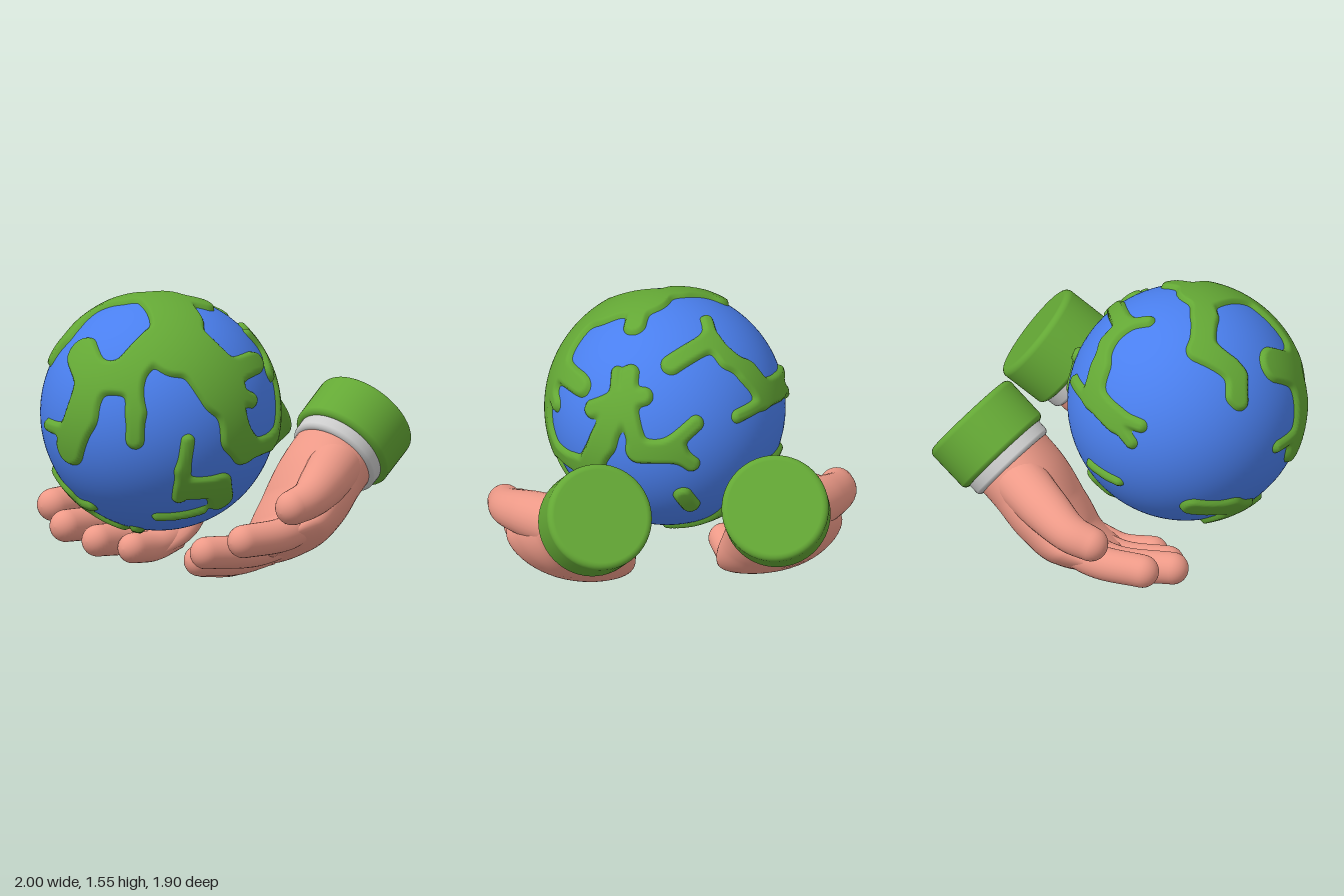
import * as THREE from 'three';
import { mergeVertices } from 'three/addons/utils/BufferGeometryUtils.js';

const mat = (color) => new THREE.MeshStandardMaterial({ color });
const GREEN = mat(0x64a835), BLUE = mat(0x4a7fee), SKIN = mat(0xee9a88), GREY = mat(0xcccccc);
const V3 = (x, y, z) => new THREE.Vector3(x, y, z);

function mesh(name, geometry, material) {
  const m = new THREE.Mesh(geometry, material);
  m.name = name;
  return m;
}

// Thick strokes on the unit sphere, drawn as seen from an azimuth and elevation.
// Each stroke is [radius, u, v, u, v, ...] in percent of the globe radius.
function strokes(azimuth, elevation, list) {
  const a = THREE.MathUtils.degToRad(azimuth), e = THREE.MathUtils.degToRad(elevation);
  const right = V3(Math.cos(a), 0, -Math.sin(a));
  const out = V3(Math.cos(e) * Math.sin(a), Math.sin(e), Math.cos(e) * Math.cos(a));
  const up = out.clone().cross(right);
  const segments = [];
  for (const [r, ...uv] of list) {
    const nodes = [];
    for (let i = 0; i < uv.length; i += 2) {
      const u = uv[i] / 100, v = uv[i + 1] / 100, w = Math.sqrt(Math.max(0, 1 - u * u - v * v));
      nodes.push(V3().addScaledVector(right, u).addScaledVector(up, v).addScaledVector(out, w).normalize());
    }
    for (let i = 1; i < nodes.length; i++) {
      segments.push({ line: new THREE.Line3(nodes[i - 1], nodes[i]), r: r / 100 });
    }
  }
  return segments;
}

// Continents and islands
const frontLand = strokes(0, 0, [
  [8, -53, 47, -42, 64, -40, 82], [16, -4, 58, 20, 40, 16, 10, 0, -20], [6, -30, -5, 0, -6],
  [15, 20, 40, 47, 44, 52, 72], [8, 55, 40, 62, 15, 62, -8],
  [11, -78, -50, -55, -57, -36, -68, -40, -82], [6, -36, -72, -8, -74], [8, -38, -82, -12, -94],
]);
const sideLand = strokes(90, 0, [
  [24, -28, 72, -12, 44, -8, 32], [15, -4, 20, 2, -8, 14, -20], [9, 14, -22, 55, -20, 72, -14],
  [12, 70, -10, 77, 12, 76, 40], [5, 76, 40, 56, 67], [9, 5, 42, 38, 48], [7, 8, 25, 22, 20],
  [6, -43, -9, -43, -35, -37, -60], [12, -32, -52, -6, -52, 6, -66], [5, -8, -74, -40, -79],
]);
const topLand = strokes(0, 90, [
  [11, -42, -32, -12, -22, 10, -10], [22, 18, -8, 46, -18, 68, -38], [10, 22, 0, 30, 24],
  [9, 84, -10, 88, 8, 76, 44], [10, -46, -30, -42, -56], [8, -42, -62, -54, -66], [8, 28, 79, 50, 72, 70, 62],
]);
const backLand = strokes(217.5, 30, [
  [9, -42, 41, 0, 46, 4, 28, 18, 10], [6, 2, 48, 12, 62], [12, 18, 10, 28, -12, 56, -14],
  [6, 56, -10, 74, -4], [6, 60, -16, 72, -22], [6, 24, -18, -8, -20], [8, -68, 46, -80, 24, -84, -10],
  [11, -84, -18, -64, -28], [7, -66, -22, -45, -12], [7, -64, -28, -52, -44], [5, 30, -70, 58, -65],
]);
const undersideLand = strokes(142.5, -30, [
  [9, 20, -70, 45, -65, 66, -54, 76, -42], [8, 60, 8, 62, -10], [6, -25, -92, 22, -90],
]);

// Raised land: a sphere that rises above the ocean along the smoothly joined strokes
function landGeometry() {
  let geo = new THREE.SphereGeometry(1, 320, 160);
  geo.deleteAttribute('uv');
  geo.deleteAttribute('normal');
  geo = mergeVertices(geo, 1e-5);
  const land = [...frontLand, ...sideLand, ...topLand, ...backLand, ...undersideLand];
  const pos = geo.attributes.position, d = V3(), near = V3(), height = [], blend = 0.02;
  for (let i = 0; i < pos.count; i++) {
    d.fromBufferAttribute(pos, i).normalize();
    let sum = 1e-9;
    for (const { line, r } of land) {
      line.closestPointToPoint(d, true, near).normalize();
      sum += Math.exp((r - near.distanceTo(d)) / blend);
    }
    height[i] = THREE.MathUtils.smoothstep(blend * Math.log(sum), -0.035, 0.035);
    d.multiplyScalar(0.617 + 0.047 * height[i]);
    pos.setXYZ(i, d.x, d.y, d.z);
  }
  const kept = [], idx = geo.index.array;
  for (let i = 0; i < idx.length; i += 3) {
    const f = [idx[i], idx[i + 1], idx[i + 2]];
    if (f.some((k) => height[k] > 0.2)) kept.push(...f);
  }
  geo.setIndex(kept);
  geo.computeVertexNormals();
  return geo;
}

// Loft with a rounded end; sections are [x, y, z, half width, half thickness, tilt in degrees]
function loft(sections, steps = 28, sides = 28, cup = 0) {
  const path = new THREE.CatmullRomCurve3(sections.map((s) => V3(s[0], s[1], s[2])));
  const size = new THREE.CatmullRomCurve3(sections.map((s) => V3(s[3], s[4] ?? s[3], s[5] ?? 0)));
  const caps = 8, verts = [], index = [], rings = steps + caps;
  for (let i = 0; i <= rings; i++) {
    const t = Math.min(1, i / steps), ang = (Math.max(0, i - steps) / caps) * Math.PI / 2;
    const T = path.getTangent(t), s = size.getPoint(t), bend = cup * Math.sin(t * Math.PI);
    const tilt = THREE.MathUtils.degToRad(s.z);
    const U = V3(Math.cos(tilt), Math.sin(tilt), 0);
    U.addScaledVector(T, -U.dot(T)).normalize();
    const W = T.clone().cross(U);
    const c = path.getPoint(t).addScaledVector(T, s.y * Math.sin(ang));
    const a = s.x - s.y * (1 - Math.cos(ang)), b = s.y * Math.cos(ang);
    for (let j = 0; j < sides; j++) {
      const th = (j / sides) * Math.PI * 2, cs = Math.cos(th);
      const p = c.clone().addScaledVector(U, a * cs).addScaledVector(W, b * Math.sin(th) + bend * (cs * cs - 0.5));
      verts.push(p.x, p.y, p.z);
      if (i < rings) {
        const A = i * sides + j, B = i * sides + ((j + 1) % sides);
        index.push(A, B, A + sides, B, B + sides, A + sides);
      }
    }
  }
  const geo = new THREE.BufferGeometry();
  geo.setAttribute('position', new THREE.Float32BufferAttribute(verts, 3));
  geo.setIndex(index);
  geo.computeVertexNormals();
  return geo;
}

// Turned disc with rounded rims
function drum(radius, from, to, bevel) {
  const pts = [new THREE.Vector2(0, from)];
  for (let i = 0; i <= 12; i++) {
    const ang = (i / 12 - 0.5) * Math.PI, mid = i < 6 ? from + bevel : to - bevel;
    pts.push(new THREE.Vector2(radius - bevel + bevel * Math.cos(ang), mid + bevel * Math.sin(ang)));
  }
  pts.push(new THREE.Vector2(0, to));
  return new THREE.LatheGeometry(pts, 56);
}

function makeHand(name) {
  const hand = new THREE.Group();
  hand.name = name;
  // palm from wrist to knuckles
  hand.add(mesh('palm', loft([
    [0.51, 0.65, -0.54, 0.23, 0.23, 0], [0.53, 0.53, -0.4, 0.265, 0.21, 5], [0.56, 0.38, -0.26, 0.32, 0.175, 14],
    [0.57, 0.25, -0.11, 0.36, 0.13, 21], [0.57, 0.19, 0.06, 0.345, 0.08, 23],
  ], 36, 48, 0.04), SKIN));
  // thumb and fingers
  const digits = {
    thumb: [[0.62, 0.6, -0.44, 0.15], [0.79, 0.54, -0.2, 0.13], [0.89, 0.49, -0.02, 0.105], [0.9, 0.46, 0.1, 0.095]],
    indexFinger: [[0.76, 0.34, -0.1, 0.1], [0.81, 0.3, 0.1, 0.092], [0.8, 0.29, 0.36, 0.09]],
    middleFinger: [[0.62, 0.24, -0.08, 0.1], [0.63, 0.2, 0.15, 0.092], [0.59, 0.21, 0.45, 0.088]],
    ringFinger: [[0.47, 0.17, -0.08, 0.1], [0.46, 0.13, 0.12, 0.09], [0.43, 0.14, 0.36, 0.087]],
    littleFinger: [[0.34, 0.14, -0.1, 0.09], [0.33, 0.095, 0.05, 0.086], [0.3, 0.1, 0.22, 0.083]],
  };
  for (const [key, path] of Object.entries(digits)) hand.add(mesh(key, loft(path), SKIN));
  // sleeve cuff with a shirt band
  const sleeve = new THREE.Group();
  sleeve.name = 'sleeve';
  sleeve.position.set(0.51, 0.66, -0.56);
  sleeve.quaternion.setFromUnitVectors(V3(0, 1, 0), V3(-0.13, 0.6, -0.79).normalize());
  sleeve.add(mesh('cuff', drum(0.29, 0, 0.285, 0.035), GREEN), mesh('shirtBand', drum(0.256, -0.078, 0.04, 0.03), GREY));
  hand.add(sleeve);
  return hand;
}

export function createModel() {
  const model = new THREE.Group();
  model.name = 'globeInHands';
  const globe = new THREE.Group();
  globe.name = 'globe';
  globe.position.set(0, 0.89, 0.29);
  globe.add(mesh('ocean', new THREE.SphereGeometry(0.64, 96, 64), BLUE), mesh('land', landGeometry(), GREEN));
  const left = makeHand('leftHand'), right = makeHand('rightHand');
  right.scale.x = -1;
  model.add(globe, left, right);
  return model;
}
